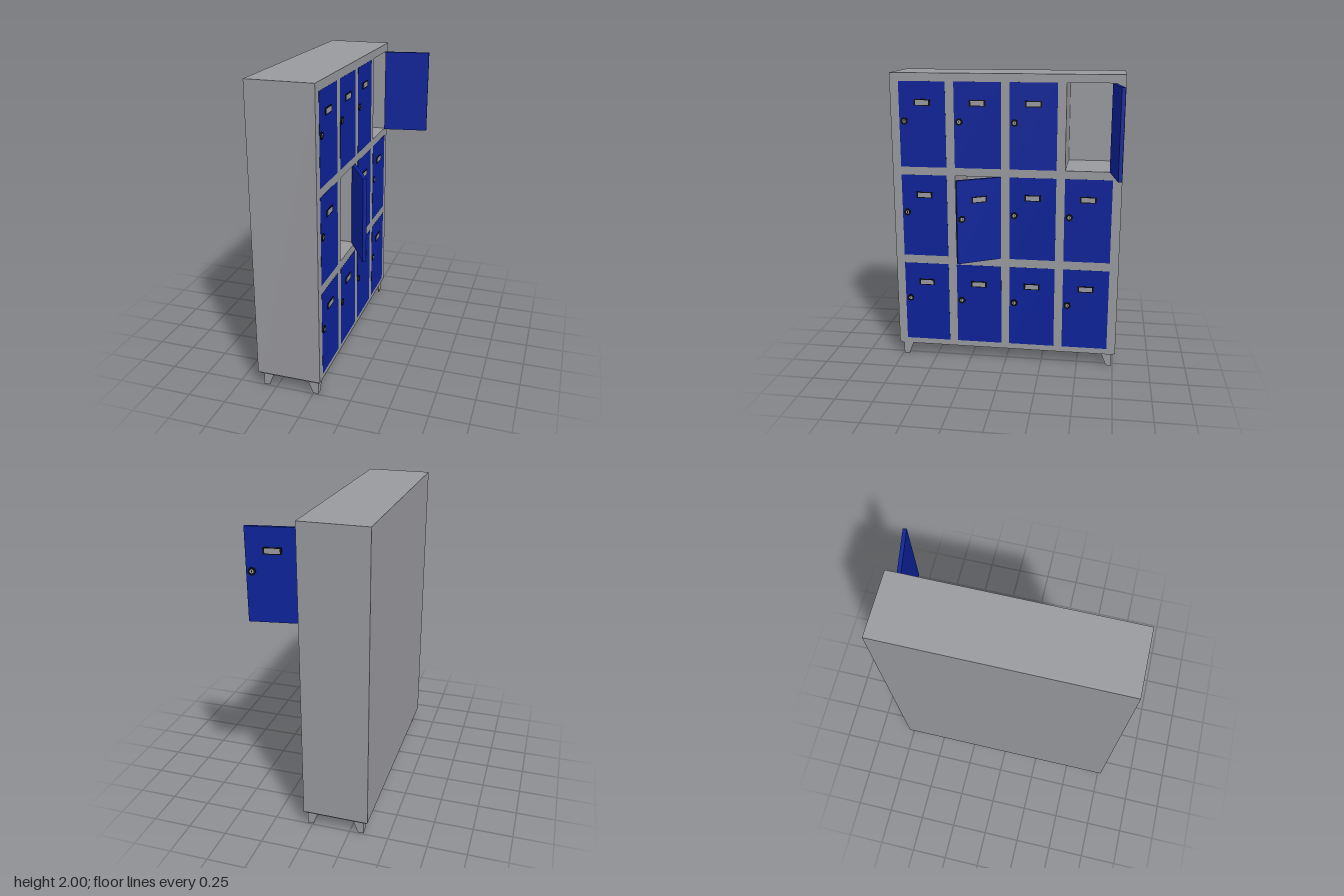
import * as THREE from 'three';

const grey = new THREE.MeshStandardMaterial({ color: 0x98999d });
grey.name = 'grey steel';
const blue = new THREE.MeshStandardMaterial({ color: 0x0c2298 });
blue.name = 'blue door paint';
const black = new THREE.MeshStandardMaterial({ color: 0x070707 });
black.name = 'black trim';

const FRONT = 0.054, BACK = -0.37, HALF = 0.766, BASE = 0.1, TOP = 2;
const DOOR_W = 0.311, DOOR_H = 0.567, DOOR_T = 0.024;
const hinges = [0.397, 0.029, -0.338, -0.706]; // z of each column's hinge edge
const sills = [0.133, 0.758, 1.379];           // y of each row's lower edge
const openAngles = { '3,2': 99.5, '1,1': 30.5 }; // column,row: degrees

function add(parent, name, geometry, material, x = 0, y = 0, z = 0) {
  const mesh = new THREE.Mesh(geometry, material);
  mesh.name = name;
  mesh.position.set(x, y, z);
  parent.add(mesh);
  return mesh;
}
const box = (x, y, z) => new THREE.BoxGeometry(x, y, z);

function polygon(points) {
  return points.map(([x, y]) => new THREE.Vector2(x, y));
}

// Cabinet block with twelve open compartments
function buildCabinet(group) {
  const panel = 0.02;
  const shape = new THREE.Shape(polygon([[-HALF, BASE], [HALF, BASE], [HALF, TOP], [-HALF, TOP]]));
  for (const z of hinges) for (const y of sills) {
    const l = -z - DOOR_W, r = -z, t = y + DOOR_H;
    shape.holes.push(new THREE.Path(polygon([[l, y], [l, t], [r, t], [r, y]])));
  }
  const depth = FRONT - 0.001 - BACK - panel;
  const frame = new THREE.ExtrudeGeometry(shape, { depth, bevelEnabled: false });
  frame.rotateY(Math.PI / 2);
  add(group, 'compartmentFrame', frame, grey, BACK + panel);
  add(group, 'backPanel', box(panel, TOP - BASE, HALF * 2), grey, BACK + panel / 2, (TOP + BASE) / 2);
  add(group, 'basePlate', box(FRONT - BACK - 0.02, 0.012, HALF * 2 - 0.02), grey, (FRONT + BACK) / 2, BASE - 0.006);
}

// Door with its pivot on the outer hinge edge, opening about y
function buildDoor(angle) {
  const door = new THREE.Group();
  door.name = 'door';
  add(door, 'doorPanel', box(DOOR_T, DOOR_H, DOOR_W), blue, -DOOR_T / 2, DOOR_H / 2, DOOR_W / 2);

  // Label holder
  const labelY = DOOR_H - 0.137, labelZ = DOOR_W / 2;
  add(door, 'labelHolder', box(0.005, 0.042, 0.11), black, 0.0015, labelY, labelZ);
  add(door, 'labelCard', box(0.002, 0.03, 0.088), grey, 0.004, labelY, labelZ);

  // Lock with keyhole
  const lockY = DOOR_H - 0.26, lockZ = DOOR_W - 0.033;
  const ring = new THREE.CylinderGeometry(0.024, 0.024, 0.005, 24).rotateZ(-Math.PI / 2);
  add(door, 'lockRing', ring, black, 0.0015, lockY, lockZ);
  const core = new THREE.CylinderGeometry(0.012, 0.012, 0.002, 16).rotateZ(-Math.PI / 2);
  add(door, 'lockCore', core, grey, 0.004, lockY, lockZ);
  add(door, 'keyhole', box(0.001, 0.014, 0.004), black, 0.0053, lockY, lockZ);

  door.rotation.y = THREE.MathUtils.degToRad(angle);
  return door;
}

// Corner foot: two tapered plates meeting in an angle
function buildFoot(sx, sz) {
  const foot = new THREE.Group();
  foot.name = 'foot';
  const t = 0.008, h = 0.09;
  const shape = new THREE.Shape(polygon([[0, 0], [0.037, 0], [0.072, h], [0, h]]));
  const plate = () => new THREE.ExtrudeGeometry(shape, { depth: t, bevelEnabled: false });
  const inX = plate();
  if (sx > 0) inX.rotateY(Math.PI).translate(0, 0, t);
  add(foot, 'footPlateAcross', inX, grey, 0, 0, sz > 0 ? -t : 0);
  const inZ = plate().rotateY(sz > 0 ? Math.PI / 2 : -Math.PI / 2);
  if (sz < 0) inZ.translate(t, 0, 0);
  add(foot, 'footPlateAlong', inZ, grey, sx > 0 ? -t : 0, 0, 0);
  foot.position.set(sx > 0 ? 0.034 : -0.34, 0, sz * 0.742);
  return foot;
}

export function createModel() {
  const group = new THREE.Group();
  group.name = 'lockerCabinet';
  buildCabinet(group);
  hinges.forEach((z, column) => sills.forEach((y, row) => {
    const door = buildDoor(openAngles[`${column},${row}`] ?? 0);
    door.position.set(FRONT, y, z);
    group.add(door);
  }));
  for (const sx of [-1, 1]) for (const sz of [-1, 1]) group.add(buildFoot(sx, sz));
  return group;
}
